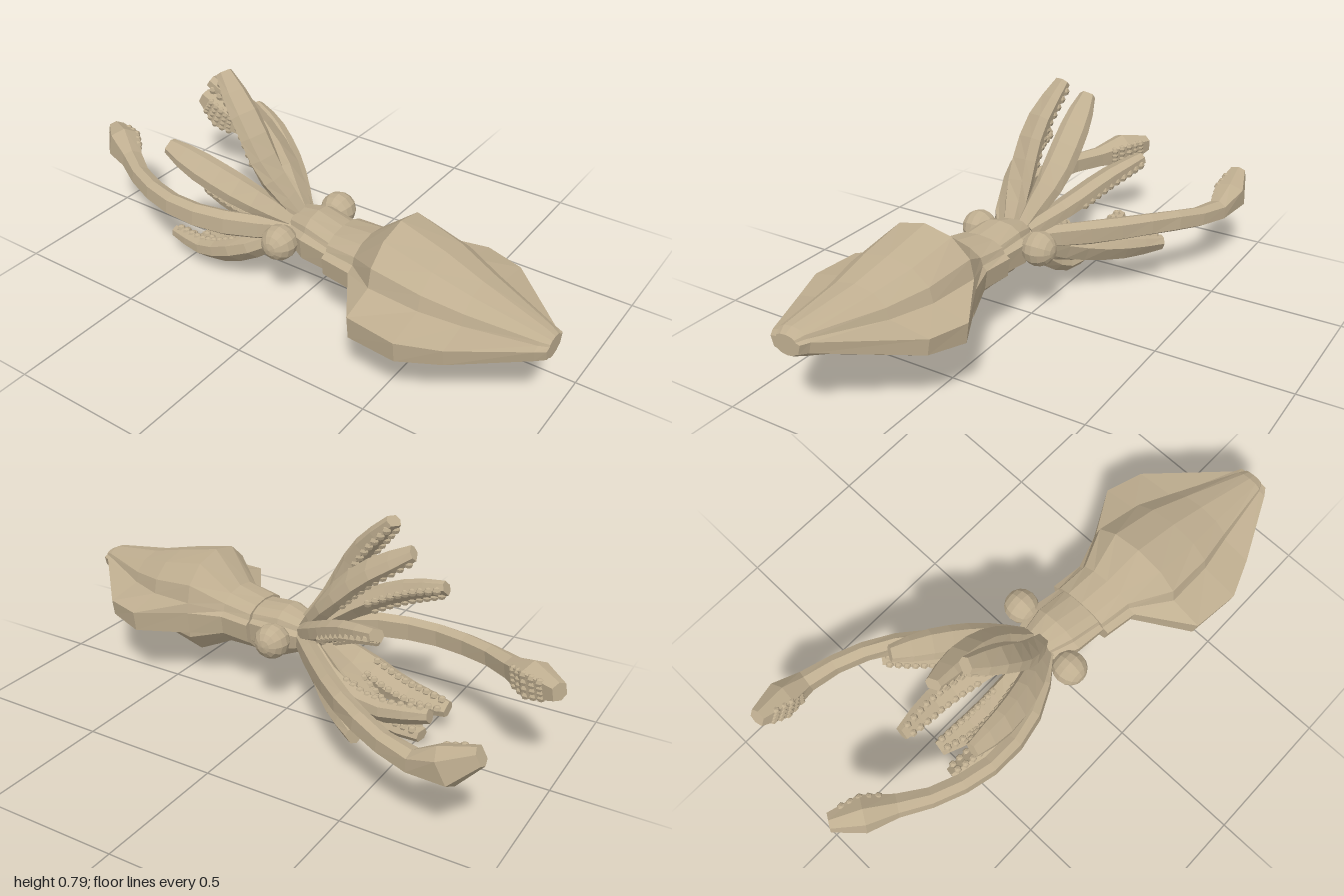
import * as THREE from 'three';

const skin = new THREE.MeshStandardMaterial({ color: 0xbfae90, flatShading: true });
const V = (x, y, z) => new THREE.Vector3(x, y, z);

// Closed skin over a list of equal-sized rings, turned to face outward
function loft(rings) {
  const n = rings[0].length, pos = [], index = [];
  const centre = (r) => r.reduce((s, p) => s.add(p), V(0, 0, 0)).divideScalar(n);
  const pts = [...rings.flat(), centre(rings[0]), centre(rings[rings.length - 1])];
  pts.forEach((p) => pos.push(p.x, p.y, p.z));
  const last = (rings.length - 1) * n;
  for (let j = 0; j < n; j++) {
    const k = (j + 1) % n;
    for (let i = 0; i < last; i += n) index.push(i + j, i + k, i + n + j, i + k, i + n + k, i + n + j);
    index.push(last + n, k, j, last + n + 1, last + j, last + k);
  }
  let volume = 0;
  for (let i = 0; i < index.length; i += 3) {
    volume += pts[index[i]].dot(V(0, 0, 0).crossVectors(pts[index[i + 1]], pts[index[i + 2]]));
  }
  if (volume < 0) index.reverse();
  const g = new THREE.BufferGeometry();
  g.setAttribute('position', new THREE.Float32BufferAttribute(pos, 3));
  g.setIndex(index);
  const flat = g.toNonIndexed();
  flat.computeVertexNormals();
  return flat;
}

function add(parent, name, geometry) {
  const m = new THREE.Mesh(geometry, skin);
  m.name = name;
  parent.add(m);
  return m;
}

// Body section: domed back, fin roots, blunt fin edges and a rounded belly
function section([x, zc, top, bottom, zMin, zMax, edgeTop, edgeBottom, half]) {
  const up = (f) => edgeTop + (top - edgeTop) * f;
  const down = (f) => edgeBottom + (bottom - edgeBottom) * f;
  const flank = (s, zEdge) => [
    V(x, up(0.88), zc + s * half * 0.6), V(x, up(0.55), zc + s * half), V(x, up(0.2), zc + s * half * 1.08),
    V(x, edgeTop, zEdge), V(x, edgeBottom, zEdge - s * 0.01),
    V(x, down(0.15), zc + s * half * 1.05), V(x, down(0.75), zc + s * half * 0.65),
  ];
  return [V(x, top, zc), ...flank(1, zMax), V(x, bottom, zc), ...flank(-1, zMin).reverse()];
}

// Linear lookup in evenly spaced values
function sample(list, t) {
  const f = t * (list.length - 1), i = Math.min(Math.floor(f), list.length - 2);
  return list[i] + (list[i + 1] - list[i]) * (f - i);
}

// Limb: flattened six-sided tube on a curve, with suckers on the side away from its back
function limb(parent, name, { points, back }, widths, depths, steps, rows, from, to, count) {
  const group = new THREE.Group();
  group.name = name;
  parent.add(group);
  const path = new THREE.CatmullRomCurve3(points.map((p) => V(...p)));
  const mid = path.getPointAt(0.5);
  const ref = (back ? V(...back) : V(0, mid.y - 0.29, mid.z - 0.09)).normalize();
  const frame = (t) => {
    const p = path.getPointAt(t), tan = path.getTangentAt(t);
    const out = ref.clone().addScaledVector(tan, -ref.dot(tan)).normalize();
    return { p, out, side: V(0, 0, 0).crossVectors(tan, out), w: sample(widths, t), d: sample(depths, t) };
  };
  const at = (f, a, b) => f.p.clone().addScaledVector(f.side, a * f.w).addScaledVector(f.out, b * f.d);
  const rings = [];
  for (let i = 0; i <= steps; i++) {
    const f = frame(i / steps);
    rings.push([[-1, 0.1], [-0.6, 1], [0.6, 1], [1, 0.1], [0.7, -1], [-0.7, -1]].map(([a, b]) => at(f, a, b)));
  }
  add(group, 'limbSkin', loft(rings));

  const ball = new THREE.SphereGeometry(0.0165, 6, 4);
  for (let i = 0; i < count; i++) {
    const f = frame(from + (to - from) * (i / (count - 1)));
    for (let r = 0; r < rows; r++) {
      const a = (r / (rows - 1) - 0.5) * 1.1;
      add(group, 'sucker', ball).position.copy(at(f, a, -0.85));
    }
  }
}

export function createModel() {
  const squid = new THREE.Group();
  squid.name = 'squid';

  // Mantle with side fins
  add(squid, 'mantle', loft([
    [0.165, 0.115, 0.36, 0.17, -0.015, 0.25, 0.30, 0.23, 0.10],
    [0.285, 0.13, 0.38, 0.16, 0.0, 0.27, 0.30, 0.23, 0.105],
    [0.41, 0.155, 0.49, 0.09, -0.04, 0.465, 0.30, 0.215, 0.175],
    [0.59, 0.17, 0.445, 0.13, -0.135, 0.485, 0.295, 0.22, 0.16],
    [0.73, 0.19, 0.405, 0.18, -0.09, 0.43, 0.295, 0.235, 0.12],
    [0.965, 0.235, 0.36, 0.26, 0.165, 0.315, 0.325, 0.285, 0.05],
    [0.995, 0.235, 0.345, 0.275, 0.18, 0.295, 0.325, 0.29, 0.035],
  ].map(section)));

  // Head, tucked into the mantle opening
  add(squid, 'head', loft([
    [-0.11, 0.085, 0.325, 0.255, 0.04, 0.13, 0.30, 0.275, 0.03],
    [-0.03, 0.09, 0.35, 0.21, 0.0, 0.18, 0.30, 0.25, 0.06],
    [0.05, 0.10, 0.37, 0.17, -0.015, 0.215, 0.31, 0.23, 0.08],
    [0.19, 0.12, 0.35, 0.175, 0.01, 0.23, 0.30, 0.23, 0.085],
  ].map(section)));

  // Eyes
  for (const [x, y, z] of [[-0.02, 0.285, 0.235], [0.03, 0.29, -0.05]]) {
    const eye = add(squid, 'eye', new THREE.SphereGeometry(0.064, 12, 8));
    eye.position.set(x, y, z);
    eye.rotation.x = Math.PI / 2;
  }

  // Eight short arms: four raised, four lowered
  [
    { points: [[-0.03, 0.32, 0.10], [-0.13, 0.46, 0.125], [-0.235, 0.64, 0.12], [-0.36, 0.775, 0.085]] },
    { points: [[-0.05, 0.32, 0.06], [-0.16, 0.46, 0.015], [-0.30, 0.60, 0.01], [-0.46, 0.70, 0.035]] },
    { points: [[-0.05, 0.31, 0.04], [-0.18, 0.38, -0.05], [-0.32, 0.455, -0.13], [-0.455, 0.50, -0.20]],
      back: [0, 0.9, 0.4] },
    { points: [[-0.05, 0.31, 0.13], [-0.20, 0.40, 0.20], [-0.36, 0.47, 0.235], [-0.50, 0.51, 0.235]] },
    { points: [[-0.05, 0.26, 0.04], [-0.20, 0.205, -0.08], [-0.32, 0.185, -0.20], [-0.44, 0.185, -0.31]] },
    { points: [[-0.05, 0.26, 0.07], [-0.22, 0.175, -0.02], [-0.40, 0.145, -0.06], [-0.59, 0.175, -0.055]] },
    { points: [[-0.05, 0.26, 0.09], [-0.20, 0.135, 0.10], [-0.36, 0.035, 0.08], [-0.52, 0.025, 0.05]] },
    { points: [[-0.05, 0.26, 0.14], [-0.20, 0.165, 0.19], [-0.38, 0.09, 0.19], [-0.565, 0.085, 0.165]],
      back: [0, -0.75, 0.65] },
  ].forEach((arm) => limb(squid, 'arm', arm,
    [0.030, 0.047, 0.056, 0.056, 0.052, 0.030], [0.028, 0.032, 0.033, 0.031, 0.028, 0.02],
    7, 2, 0.42, 0.95, 10));

  // Two long tentacles ending in suckered clubs
  const width = [0.035, 0.045, 0.048, 0.046, 0.043, 0.041, 0.039, 0.040, 0.068, 0.032];
  const depth = [0.026, 0.028, 0.029, 0.029, 0.029, 0.029, 0.029, 0.034, 0.054, 0.028];
  [
    { points: [[-0.04, 0.285, 0.14], [-0.20, 0.295, 0.245], [-0.42, 0.30, 0.285], [-0.65, 0.31, 0.23],
      [-0.82, 0.325, 0.13], [-0.985, 0.345, 0.03]] },
    { points: [[-0.04, 0.28, 0.04], [-0.20, 0.275, -0.12], [-0.42, 0.275, -0.31], [-0.62, 0.25, -0.405],
      [-0.76, 0.25, -0.43], [-0.91, 0.33, -0.42]] },
  ].forEach((tentacle) => limb(squid, 'tentacle', tentacle, width, depth, 9, 4, 0.83, 0.95, 5));

  return squid;
}
